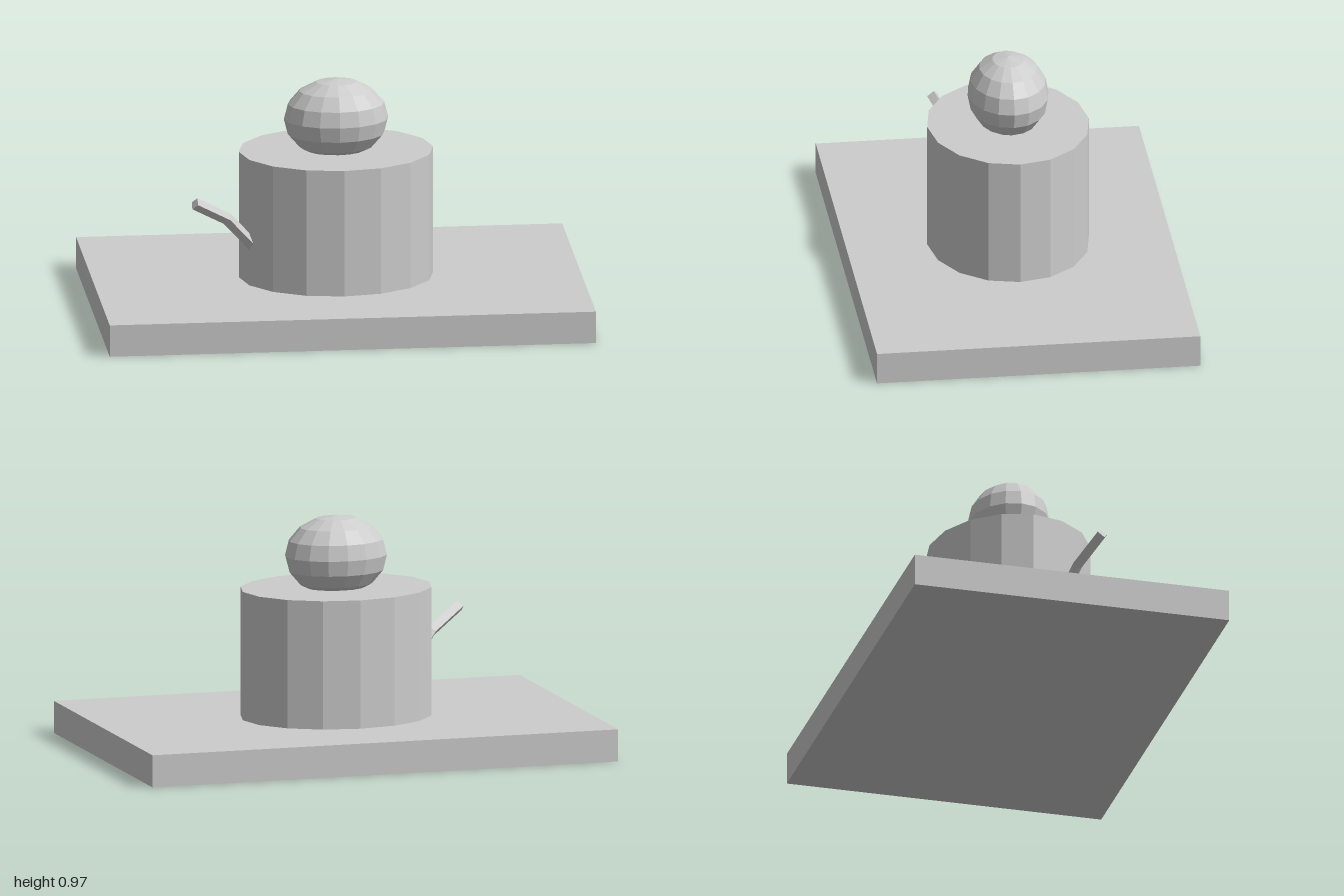
import * as THREE from 'three';

// Square-section bar swept along a path lying in one vertical plane, edge pointing up
function sweptBar(points, radius) {
  const n = points.length;
  const heading = points[n - 1].clone().sub(points[0]).setY(0).normalize();
  const side = new THREE.Vector3(0, 1, 0).cross(heading).normalize();
  const pos = [], index = [];
  points.forEach((p, i) => {
    const dir = points[Math.min(i + 1, n - 1)].clone().sub(points[Math.max(i - 1, 0)]).normalize();
    const up = dir.clone().cross(side).normalize();
    for (let k = 0; k < 4; k++) {
      const a = k * Math.PI / 2;
      const v = p.clone().addScaledVector(side, radius * Math.cos(a)).addScaledVector(up, radius * Math.sin(a));
      pos.push(v.x, v.y, v.z);
    }
  });
  for (let i = 0; i < n - 1; i++) {
    for (let k = 0; k < 4; k++) {
      const a = i * 4 + k, b = i * 4 + (k + 1) % 4;
      index.push(a, b + 4, b, a, a + 4, b + 4);
    }
  }
  const e = (n - 1) * 4;
  index.push(0, 1, 2, 0, 2, 3, e, e + 2, e + 1, e, e + 3, e + 2);
  const g = new THREE.BufferGeometry();
  g.setAttribute('position', new THREE.Float32BufferAttribute(pos, 3));
  g.setIndex(index);
  const flat = g.toNonIndexed();
  flat.computeVertexNormals();
  return flat;
}

export function createModel() {
  const model = new THREE.Group();
  const grey = new THREE.MeshStandardMaterial({ color: 0xcccccc, flatShading: true, side: THREE.DoubleSide });
  grey.name = 'light grey';

  const add = (name, geometry, y = 0) => {
    const mesh = new THREE.Mesh(geometry, grey);
    mesh.name = name;
    mesh.position.y = y;
    model.add(mesh);
    return mesh;
  };

  // Ground slab
  add('base', new THREE.BoxGeometry(2, 0.1333, 1.3333), 0.0667);

  // Oval 16-sided body
  add('body', new THREE.CylinderGeometry(1, 1, 0.5333, 16).scale(0.4, 1, 0.3333), 0.4);

  // Flattened faceted head, sunk slightly into the body
  add('head', new THREE.SphereGeometry(1, 16, 8).scale(0.2147, 0.1667, 0.1667), 0.8);

  // Bent arm on the right side, rooted inside the body
  add('rightArm', sweptBar([
    new THREE.Vector3(-0.31, 0.25, 0.097),
    new THREE.Vector3(-0.465, 0.431, 0.17),
    new THREE.Vector3(-0.605, 0.518, 0.236),
  ], 0.025));

  return model;
}
